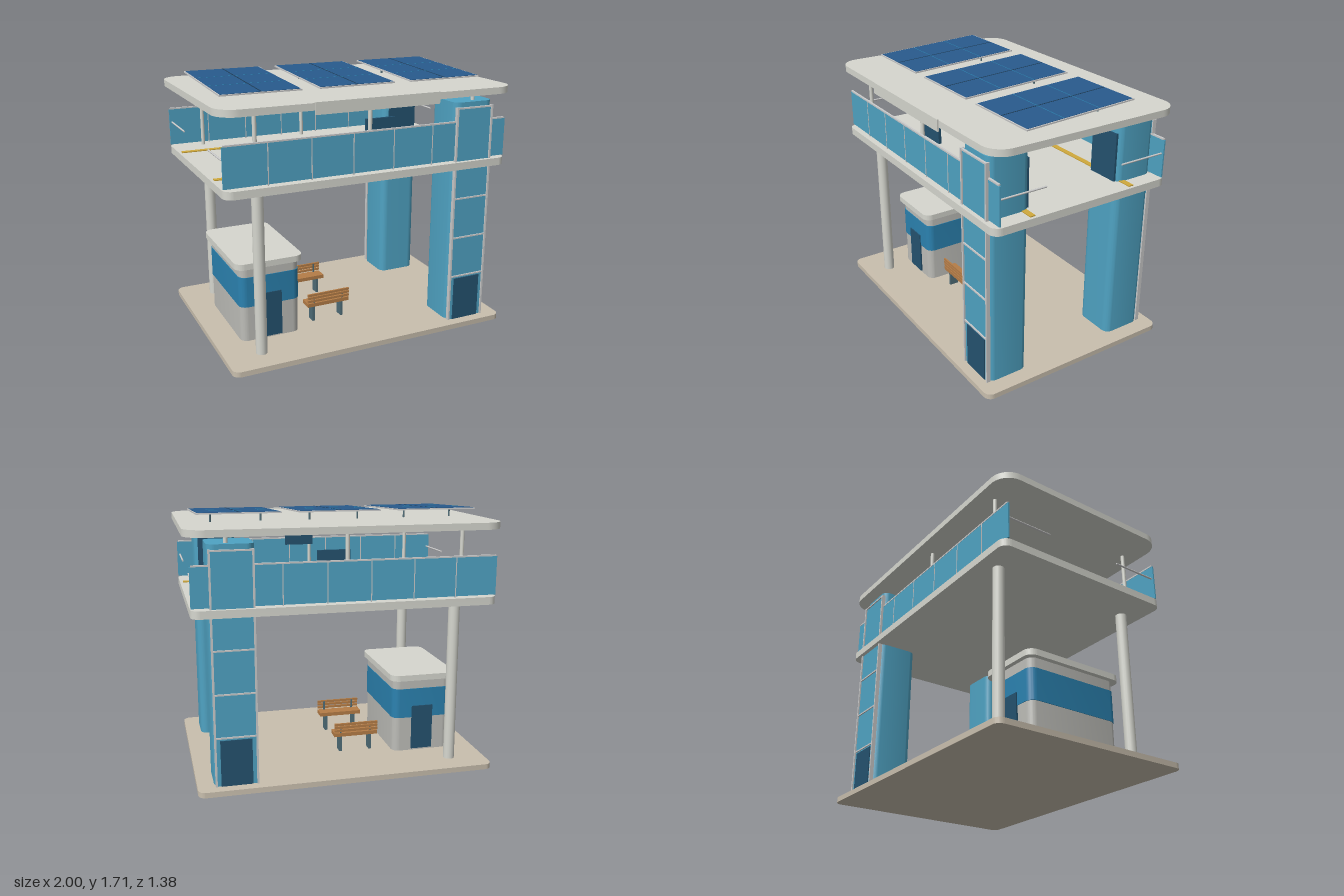
import * as THREE from 'three';
import { toCreasedNormals } from 'three/addons/utils/BufferGeometryUtils.js';

const mat = (color) => new THREE.MeshStandardMaterial({ color });
const M = {
  grey: mat(0xcccccc), roof: mat(0xd6d7cf), ground: mat(0xc9bfae), teal: mat(0x4fa3c3),
  wall: mat(0xbdbdb8), band: mat(0x2b82b0), door: mat(0x24526f), solar: mat(0x285a8c),
  line: mat(0x1c3c58), wood: mat(0xb57d47), leg: mat(0x4f6d78), yellow: mat(0xd0a93c),
};

export function createModel() {
  const model = new THREE.Group();

  const add = (parent, name, geometry, material, x = 0, y = 0, z = 0) => {
    const mesh = new THREE.Mesh(geometry, material);
    mesh.name = name;
    mesh.position.set(x, y, z);
    parent.add(mesh);
    return mesh;
  };
  const group = (name, x = 0, y = 0, z = 0) => {
    const g = new THREE.Group();
    g.name = name;
    g.position.set(x, y, z);
    model.add(g);
    return g;
  };
  // Box given by its limits on each axis
  const box = (parent, name, material, [x0, x1], [y0, y1], [z0, z1]) =>
    add(parent, name, new THREE.BoxGeometry(x1 - x0, y1 - y0, z1 - z0), material,
      (x0 + x1) / 2, (y0 + y1) / 2, (z0 + z1) / 2);
  const post = (parent, name, material, r, x, y0, y1, z) =>
    add(parent, name, new THREE.CylinderGeometry(r, r, y1 - y0, 16), material, x, (y0 + y1) / 2, z);
  // Upright slab with rounded corners in plan
  const slab = (parent, name, material, w, d, r, y0, y1, x = 0, z = 0) => {
    const s = new THREE.Shape();
    const a = w / 2, b = d / 2;
    s.moveTo(-a + r, -b);
    s.lineTo(a - r, -b);
    s.absarc(a - r, -b + r, r, -Math.PI / 2, 0, false);
    s.lineTo(a, b - r);
    s.absarc(a - r, b - r, r, 0, Math.PI / 2, false);
    s.lineTo(-a + r, b);
    s.absarc(-a + r, b - r, r, Math.PI / 2, Math.PI, false);
    s.lineTo(-a, -b + r);
    s.absarc(-a + r, -b + r, r, Math.PI, Math.PI * 1.5, false);
    const geo = new THREE.ExtrudeGeometry(s, { depth: y1 - y0, bevelEnabled: false, curveSegments: 8 });
    geo.rotateX(-Math.PI / 2);
    return add(parent, name, toCreasedNormals(geo, 0.6), material, x, y0, z);
  };

  // Main slabs
  slab(model, 'ground', M.ground, 1.94, 1.38, 0.05, 0, 0.035);
  slab(model, 'deck', M.roof, 1.94, 1.29, 0.06, 1.11, 1.16);
  slab(model, 'roof', M.roof, 2, 1.33, 0.13, 1.59, 1.634);
  box(model, 'signBoard', M.roof, [-0.42, 0.42], [1.565, 1.64], [0.664, 0.675]);

  // Everything that is mirrored front to back
  for (const s of [1, -1]) {
    const zr = (a, b) => (s > 0 ? [a, b] : [-b, -a]);

    // Lift tower with glazed outer face and doors at both levels
    const tower = group(s > 0 ? 'frontTower' : 'rearTower');
    slab(tower, 'shaft', M.teal, 0.285, 0.28, 0.05, 0.035, 1.545, 0.722, s * 0.47);
    box(tower, 'glazing', M.teal, [0.595, 0.85], [0.035, 1.51], zr(0.6, 0.617));
    for (const x of [0.592, 0.852])
      box(tower, 'frameUpright', M.grey, [x - 0.006, x + 0.006], [0.035, 1.515], zr(0.6, 0.627));
    for (const y of [0.352, 0.63, 0.905, 1.508])
      box(tower, 'frameBar', M.grey, [0.592, 0.852], [y - 0.005, y + 0.005], zr(0.61, 0.625));
    box(tower, 'lowerDoor', M.door, [0.623, 0.822], [0.035, 0.335], zr(0.61, 0.623));
    box(tower, 'upperDoor', M.door, [0.62, 0.84], [1.16, 1.475], zr(0.323, 0.34));

    // Columns and roof posts
    post(model, 'column', M.roof, 0.037, -0.73, 0.035, 1.11, s * 0.51);
    post(model, 'roofPost', M.roof, 0.013, -0.75, 1.16, 1.59, s * 0.55);
    post(model, 'roofPost', M.roof, 0.013, 0, 1.16, 1.59, s * 0.55);
    post(model, 'roofPost', M.roof, 0.013, 0.746, 1.545, 1.59, s * 0.55);
    box(model, 'displayScreen', M.door, [-0.02, 0.185], [1.38, 1.48], zr(0.52, 0.538));

    // Railing: seven panes with dividers, a handrail and end rods
    const railing = group(s > 0 ? 'frontRailing' : 'rearRailing');
    const pane = 1.94 / 7;
    for (let i = 0; i < 7; i++) {
      const x = -0.97 + i * pane;
      box(railing, 'pane', M.teal, [x + 0.002, x + pane - 0.002], [1.168, 1.416], zr(0.6, 0.61));
      if (i) box(railing, 'divider', M.grey, [x - 0.003, x + 0.003], [1.16, 1.416], zr(0.598, 0.612));
    }
    box(railing, 'handrail', M.grey, [-0.96, 0.96], [1.416, 1.426], zr(0.598, 0.612));
    for (const x of [-0.95, 0.95]) {
      const rod = add(railing, 'endRod', new THREE.CylinderGeometry(0.006, 0.006, 0.325, 10), M.grey, x, 1.325, s * 0.442);
      rod.rotation.x = Math.PI / 2;
    }
    box(model, 'guideStrip', M.yellow, [-0.95, 0.95], [1.16, 1.166], zr(0.352, 0.388));

    // Bench with its back on the outer side
    const bench = group('bench');
    box(bench, 'seat', M.wood, [-0.3, 0.005], [0.147, 0.173], zr(0.167, 0.257));
    for (const y of [0.19, 0.213, 0.234])
      box(bench, 'backSlat', M.wood, [-0.3, 0.005], [y - 0.008, y + 0.008], zr(0.248, 0.26));
    for (const x of [-0.252, -0.042]) {
      box(bench, 'leg', M.leg, [x - 0.009, x + 0.009], [0.035, 0.147], zr(0.18, 0.242));
      box(bench, 'backSupport', M.leg, [x - 0.006, x + 0.006], [0.173, 0.236], zr(0.244, 0.25));
    }
  }

  // Kiosk
  const kiosk = group('kiosk');
  slab(kiosk, 'walls', M.wall, 0.405, 0.66, 0.05, 0.035, 0.545, -0.595, 0);
  slab(kiosk, 'colourBand', M.band, 0.413, 0.668, 0.052, 0.275, 0.48, -0.595, 0);
  slab(kiosk, 'kioskRoof', M.roof, 0.46, 0.72, 0.06, 0.545, 0.585, -0.6, 0);
  for (const z of [0.333, -0.333])
    box(kiosk, 'kioskDoor', M.door, [-0.67, -0.522], [0.048, 0.357], [z - 0.008, z + 0.008]);

  // Tilted solar panels on short posts
  for (const x of [-0.64, 0, 0.638]) {
    const panel = group('solarPanel', x, 1.685, 0);
    panel.rotation.x = 0.046;
    box(panel, 'panelFrame', M.grey, [-0.262, 0.262], [-0.006, 0.003], [-0.387, 0.387]);
    box(panel, 'cells', M.solar, [-0.254, 0.254], [-0.004, 0.005], [-0.379, 0.379]);
    box(panel, 'centreLine', M.line, [-0.004, 0.004], [0, 0.006], [-0.379, 0.379]);
    for (const z of [-0.128, 0.128])
      box(panel, 'crossLine', M.band, [-0.254, 0.254], [0, 0.006], [z - 0.002, z + 0.002]);
    for (const dx of [-0.16, 0.16])
      post(model, 'panelPost', M.leg, 0.006, x + dx, 1.63, 1.69, -0.195);
  }

  return model;
}
